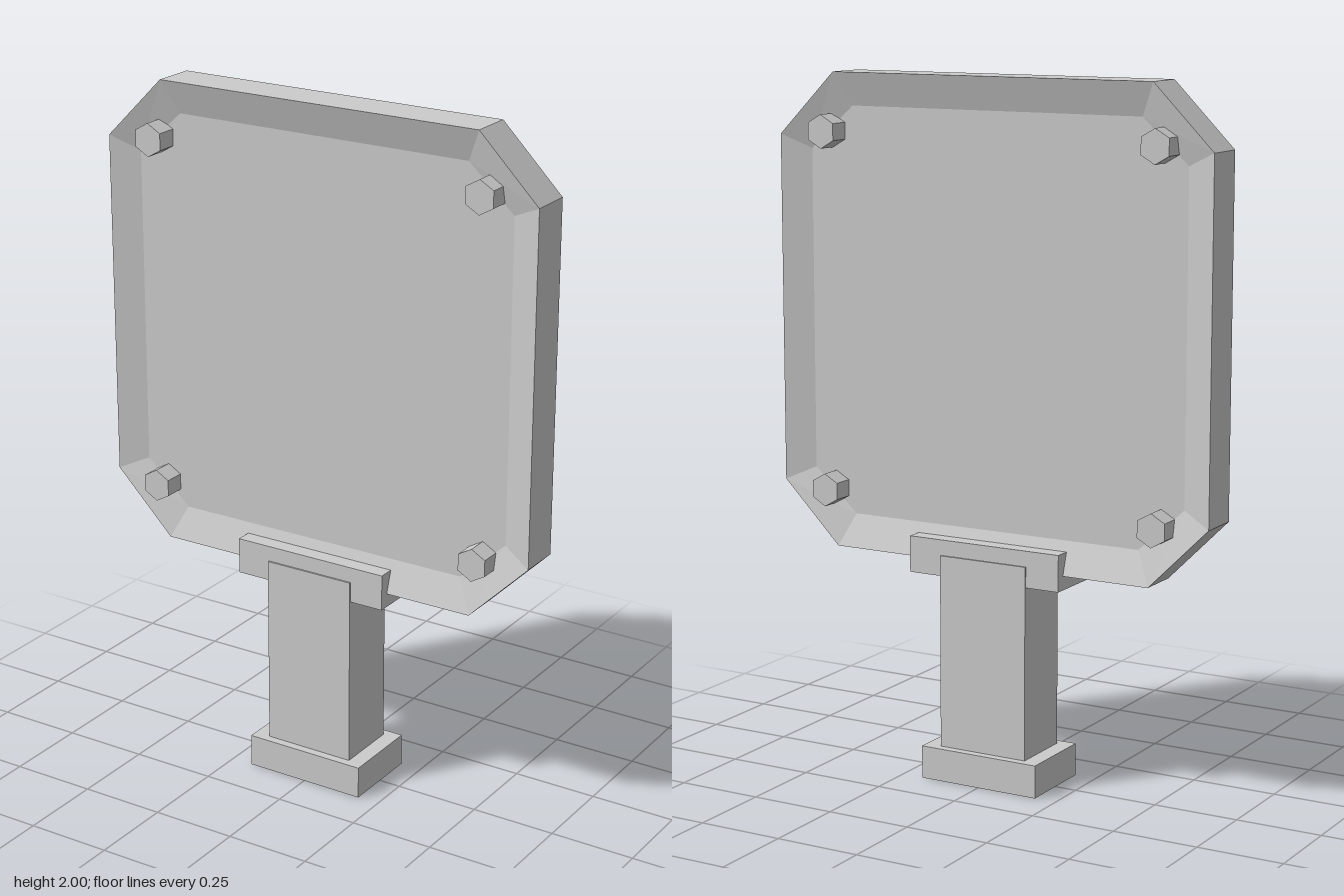
import * as THREE from 'three';

const material = new THREE.MeshStandardMaterial({ color: 0xcccccc, flatShading: true });

// Corners of an octagon (a rectangle with cut corners), counter-clockwise from the front
function octagon(halfW, halfH, cutX, cutY, z) {
  const x = halfW - cutX, y = halfH - cutY;
  return [
    [halfW, -y], [halfW, y], [x, halfH], [-x, halfH],
    [-halfW, y], [-halfW, -y], [-x, -halfH], [x, -halfH],
  ].map(([px, py]) => [px, py, z]);
}

// Skin a stack of octagonal rings and close both ends
function loft(rings) {
  const n = rings[0].length, positions = [];
  const tri = (...points) => points.forEach((p) => positions.push(...p));
  for (let r = 0; r < rings.length - 1; r++) {
    for (let i = 0; i < n; i++) {
      const j = (i + 1) % n;
      const a = rings[r][i], b = rings[r][j], c = rings[r + 1][j], d = rings[r + 1][i];
      tri(a, b, c);
      tri(a, c, d);
    }
  }
  const first = rings[0], last = rings[rings.length - 1];
  for (let i = 1; i < n - 1; i++) {
    tri(first[0], first[i + 1], first[i]);
    tri(last[0], last[i], last[i + 1]);
  }
  const geometry = new THREE.BufferGeometry();
  geometry.setAttribute('position', new THREE.Float32BufferAttribute(positions, 3));
  geometry.computeVertexNormals();
  return geometry;
}

export function createModel() {
  const group = new THREE.Group();
  group.name = 'signPaddle';

  const add = (name, geometry, x, y, z) => {
    const mesh = new THREE.Mesh(geometry, material);
    mesh.name = name;
    mesh.position.set(x, y, z);
    group.add(mesh);
    return mesh;
  };
  const addBox = (name, width, depth, y0, y1) =>
    add(name, new THREE.BoxGeometry(width, y1 - y0, depth), 0, (y0 + y1) / 2, 0);

  // Base, post and the clamp that grips the panel
  addBox('base', 0.37, 0.24, 0, 0.095);
  addBox('post', 0.275, 0.19, 0.095, 0.655);
  addBox('clamp', 0.48, 0.18, 0.595, 0.7);

  // Panel with a raised rim sloping in to a recessed face on both sides
  const half = 0.063, recess = 0.03;
  const outer = (z) => octagon(0.682, 0.6825, 0.18, 0.18, z);
  const inner = (z) => octagon(0.595, 0.5875, 0.138, 0.125, z);
  add('panel', loft([
    inner(-half + recess), outer(-half), outer(half), inner(half - recess),
  ]), 0, 1.3175, 0);

  // Hexagonal bolts through the four corners
  const boltGeometry = new THREE.CylinderGeometry(0.048, 0.048, 0.19, 6).rotateX(Math.PI / 2);
  for (const x of [-0.525, 0.525]) {
    for (const y of [0.803, 1.833]) add('bolt', boltGeometry, x, y, 0);
  }

  return group;
}
